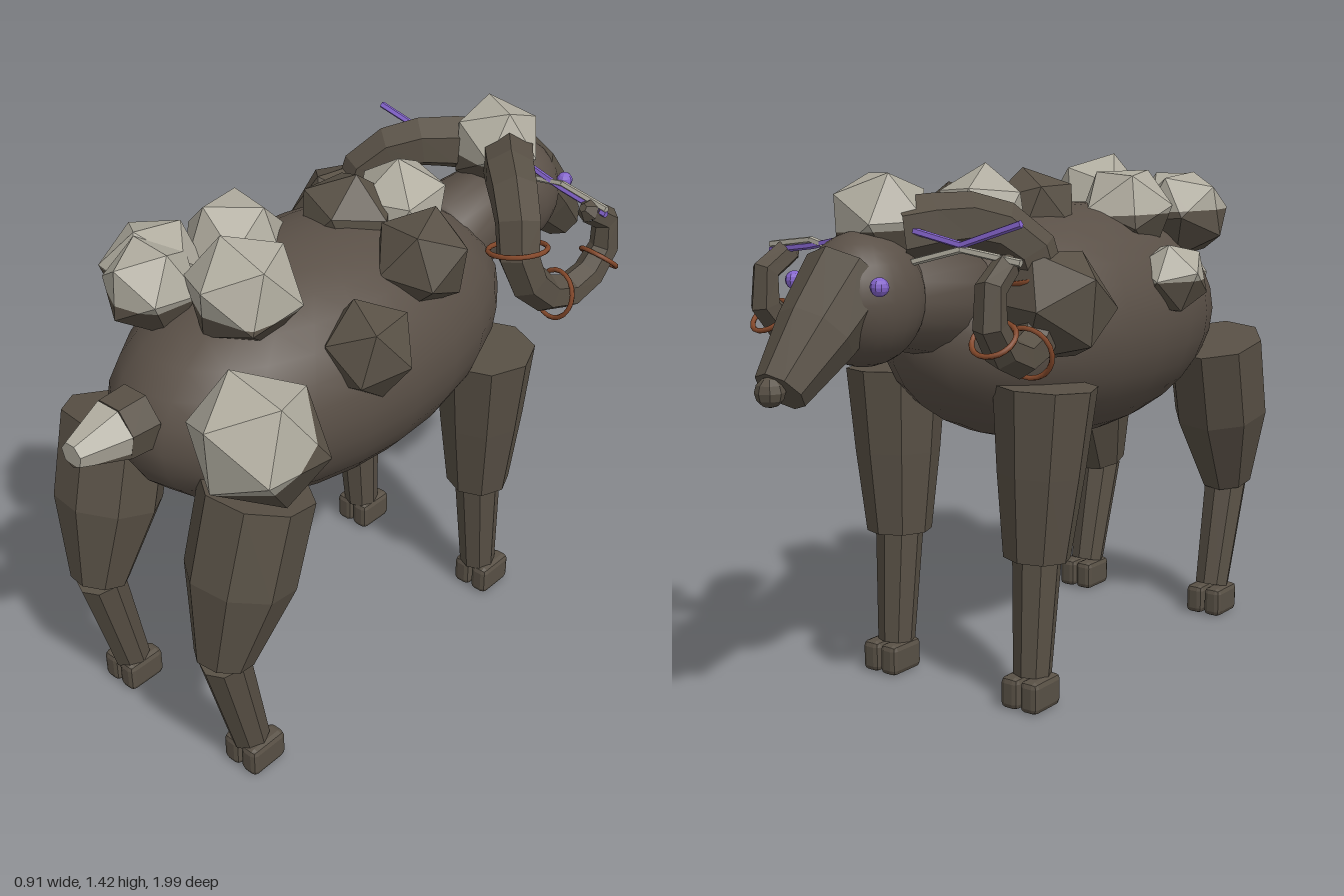
import * as THREE from 'three';
import { RoundedBoxGeometry } from 'three/addons/geometries/RoundedBoxGeometry.js';

const mat = (name, color, flat = true) =>
  Object.assign(new THREE.MeshStandardMaterial({ color, flatShading: flat }), { name });
const V = (x, y, z) => new THREE.Vector3(x, y, z);

// Seeded numbers for the uneven boulders
function seeded(seed) {
  let s = seed * 7919 + 17;
  return () => ((s = (s * 16807) % 2147483647) / 2147483647);
}

// Splits a geometry by a plane into a lower (group 0) and an upper (group 1) part; tilt leans it to +z
function splitByHeight(geometry, cut, tilt = 0) {
  const g = geometry.index ? geometry.toNonIndexed() : geometry;
  const p = g.attributes.position;
  const halves = [[], []];
  const height = v => v.y - cut + v.x * 0.05 + v.z * tilt;
  for (let i = 0; i < p.count; i += 3) {
    const tri = [0, 1, 2].map(k => V().fromBufferAttribute(p, i + k));
    [-1, 1].forEach((sign, side) => {
      const poly = [];
      tri.forEach((a, k) => {
        const b = tri[(k + 1) % 3], ha = height(a) * sign, hb = height(b) * sign;
        if (ha >= 0) poly.push(a);
        if (ha * hb < 0) poly.push(a.clone().lerp(b, ha / (ha - hb)));
      });
      for (let k = 1; k + 1 < poly.length; k++) halves[side].push(poly[0], poly[k], poly[k + 1]);
    });
  }
  const out = new THREE.BufferGeometry().setFromPoints([...halves[0], ...halves[1]]);
  out.addGroup(0, halves[0].length, 0);
  out.addGroup(halves[0].length, halves[1].length, 1);
  out.computeVertexNormals();
  return out;
}

// Closed segment between two points, with evenly spaced radii
function limb(a, b, radii, sides = 8) {
  const length = a.distanceTo(b);
  const profile = radii.map((r, i) => new THREE.Vector2(r, (length * i) / (radii.length - 1)));
  const g = new THREE.LatheGeometry(
    [new THREE.Vector2(0, 0), ...profile, new THREE.Vector2(0, length)], sides);
  g.applyQuaternion(new THREE.Quaternion().setFromUnitVectors(V(0, 1, 0), b.clone().sub(a).normalize()));
  return g.translate(a.x, a.y, a.z);
}

// Tube along a curve that thins toward its end
function taperedTube(curve, steps, r0, r1, sides) {
  const g = new THREE.TubeGeometry(curve, steps, 1, sides, false);
  const p = g.attributes.position;
  for (let i = 0; i < p.count; i++) {
    const t = Math.floor(i / (sides + 1)) / steps;
    const c = curve.getPointAt(t);
    const v = V().fromBufferAttribute(p, i).sub(c).multiplyScalar(r0 + (r1 - r0) * t).add(c);
    p.setXYZ(i, v.x, v.y, v.z);
  }
  g.computeVertexNormals();
  return g;
}

export function createModel() {
  const root = new THREE.Group();
  root.name = 'ramCreature';
  const hide = mat('hide', 0x5a5047, false);
  const stone = mat('stone', 0x585045);
  const pale = mat('paleStone', 0xb0ac9f);
  const violet = mat('violet', 0x8464cc);
  const rust = mat('rust', 0x84482a, false);
  const add = (name, geometry, material, parent = root) => {
    const m = new THREE.Mesh(geometry, material);
    m.name = name;
    parent.add(m);
    return m;
  };
  const ellipsoid = (rx, ry, rz, x, y, z, w = 24, h = 16) =>
    new THREE.SphereGeometry(1, w, h).scale(rx, ry, rz).translate(x, y, z);

  // Body, neck and head
  add('body', ellipsoid(0.355, 0.33, 0.645, 0, 0.965, 0.19), hide);
  add('neck', limb(V(0, 1.06, -0.3), V(0, 1.1, -0.6), [0.15, 0.12], 16), hide);
  add('head', ellipsoid(0.145, 0.165, 0.165, 0, 1.1, -0.635), hide);
  add('snout', limb(V(0, 1.15, -0.68), V(0, 0.915, -0.925), [0.118, 0.1, 0.066]), stone);
  add('nose', ellipsoid(0.036, 0.036, 0.036, 0, 0.918, -0.957, 8, 6), stone);

  // Tail stub with a pale tip
  add('tailBase', limb(V(0, 1.03, 0.8), V(0, 1.03, 0.88), [0.085, 0.08], 7), stone);
  add('tailTip', splitByHeight(limb(V(0, 1.03, 0.88), V(0, 1.025, 1), [0.08, 0.034], 7), 1.0), [stone, pale]);

  // Boulders: x, y, z, radius, height of the pale cap (9 for none), lean of the cap
  const boulders = [
    [-0.135, 1.26, 0.33, 0.145, 1.25], [0.085, 1.285, 0.52, 0.145, 1.26],
    [-0.21, 1.25, 0.54, 0.135, 1.25], [-0.13, 1.26, 0.62, 0.13, 1.24],
    [-0.325, 1.09, 0.27, 0.11, 1.07], [0.3, 1.05, 0.7, 0.175, 1.62, 0.8],
    [0.3, 1.12, 0.32, 0.125, 9], [-0.305, 1.07, -0.27, 0.165, 9],
    [0.05, 1.265, -0.09, 0.14, 1.27], [-0.01, 1.265, 0.05, 0.13, 9],
    [0.23, 1.23, 0.04, 0.13, 9], [0.01, 1.28, -0.555, 0.135, 1.26],
  ];
  boulders.forEach(([x, y, z, r, cut, tilt], i) => {
    const rnd = seeded(i + 3);
    for (let k = 0; k < 5; k++) rnd();
    const g = new THREE.IcosahedronGeometry(r, 0);
    g.scale(0.95 + rnd() * 0.12, 0.92 + rnd() * 0.12, 0.95 + rnd() * 0.12);
    g.rotateX(rnd() * 3).rotateY(rnd() * 6).rotateZ(rnd() * 3).translate(x, y, z);
    add('boulder' + (i + 1), splitByHeight(g, cut, tilt), [stone, pale]);
  });

  for (const s of [-1, 1]) {
    const side = s > 0 ? 'left' : 'right';
    add(side + 'Eye', ellipsoid(0.023, 0.023, 0.023, s * 0.135, 1.145, -0.73, 10, 8), violet);

    // Curled horn with rust bands
    const curve = new THREE.CatmullRomCurve3([
      V(0.05, 1.26, -0.56), V(0.16, 1.28, -0.42), V(0.26, 1.225, -0.325), V(0.295, 1.1, -0.3),
      V(0.32, 0.995, -0.37), V(0.345, 0.965, -0.49), V(0.36, 1.04, -0.6), V(0.36, 1.14, -0.605),
      V(0.35, 1.19, -0.53),
    ].map(v => v.setX(v.x * s)));
    const horn = new THREE.Group();
    horn.name = side + 'Horn';
    root.add(horn);
    add('hornCurl', taperedTube(curve, 12, 0.08, 0.034, 6), stone, horn);
    const tip = curve.getPointAt(1);
    add('hornTip', limb(tip, tip.clone().addScaledVector(curve.getTangentAt(1), 0.03), [0.034, 0.012], 6), stone, horn);
    for (const t of [0.4, 0.62, 0.8]) {
      const c = curve.getPointAt(t);
      const band = add('hornBand', new THREE.TorusGeometry(0.106 - 0.064 * t, 0.007, 6, 20), rust, horn);
      band.position.copy(c);
      band.lookAt(c.clone().add(curve.getTangentAt(t)));
    }

    // Slender bent ear rods, the two sides held differently
    const rods = s < 0
      ? [[violet, 1.265, 1.235, 1.29], [pale, 1.19, 1.225, 1.2]]
      : [[violet, 1.235, 1.21, 1.19], [pale, 1.2, 1.225, 1.205]];
    for (const [material, inner, bend, outer] of rods) {
      const elbow = V(s * 0.24, bend, -0.56);
      add(side + 'EarInner', limb(V(s * 0.11, inner, -0.58), elbow, [0.009, 0.009], 5), material);
      add(side + 'EarOuter', limb(elbow, V(s * 0.4, outer, -0.54), [0.009, 0.01], 5), material);
    }

    // Legs: hip, knee and ankle as [y, z], then the thigh radii and the hoof z
    const legs = {
      Front: [[0.855, -0.225], [0.4, -0.24], [0.085, -0.26], [0.138, 0.117, 0.09], -0.275],
      Rear: [[0.868, 0.662], [0.41, 0.79], [0.085, 0.715], [0.145, 0.143, 0.078], 0.705],
    };
    for (const [name, [hip, knee, ankle, thighRadii, hoofZ]] of Object.entries(legs)) {
      const leg = new THREE.Group();
      leg.name = side + name + 'Leg';
      root.add(leg);
      const at = ([y, z], x) => V(s * x, y, z);
      add('thigh', limb(at(hip, 0.25), at(knee, 0.235), thighRadii), stone, leg);
      add('lowerLeg', limb(at(knee, 0.235), at(ankle, 0.235), [0.066, 0.052]), stone, leg);
      for (const dx of [-0.031, 0.031])
        add('toe', new RoundedBoxGeometry(0.056, 0.088, 0.12, 1, 0.016)
          .translate(s * 0.24 + dx, 0.044, hoofZ), stone, leg);
    }
  }
  return root;
}
